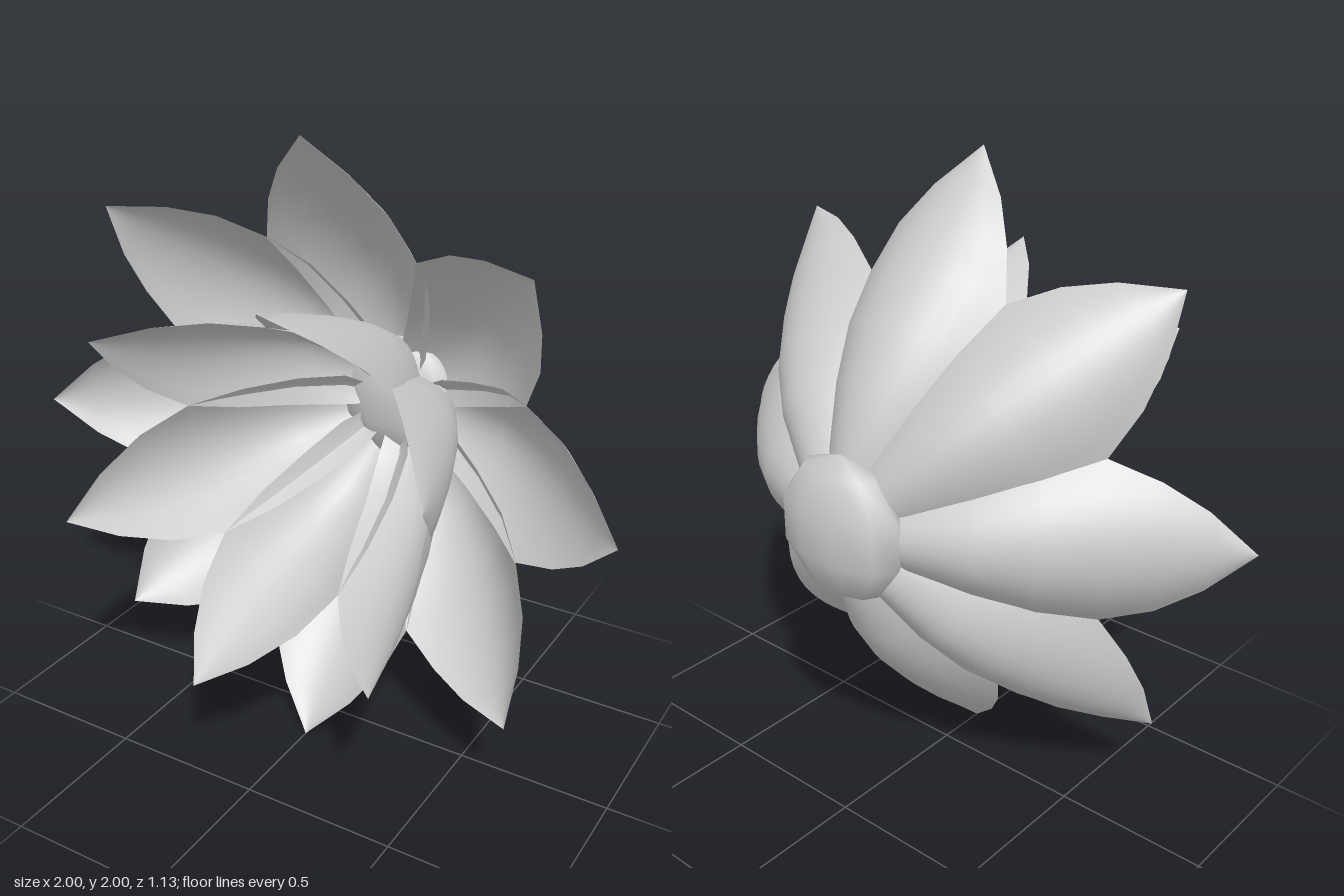
import * as THREE from 'three';

const material = new THREE.MeshStandardMaterial({ color: 0xcccccc, side: THREE.DoubleSide });

// Petal stations from base to tip: [midrib radius, midrib z, edge radius, edge z, half width]
const OUTER = [
  [0.05, -0.47, 0.05, -0.43, 0.05],
  [0.22, -0.455, 0.19, -0.38, 0.13],
  [0.42, -0.38, 0.34, -0.29, 0.185],
  [0.57, -0.28, 0.49, -0.18, 0.235],
  [0.71, -0.155, 0.62, -0.05, 0.26],
  [0.82, -0.04, 0.765, 0.02, 0.205],
  [0.91, 0.065, 0.88, 0.09, 0.125],
  [1.0, 0.165, 1.0, 0.165, 0],
];
const INNER = [
  [0.05, -0.45, 0.03, -0.41, 0.05],
  [0.18, -0.4, 0.11, -0.33, 0.13],
  [0.31, -0.27, 0.2, -0.19, 0.175],
  [0.4, -0.1, 0.29, -0.01, 0.208],
  [0.47, 0.07, 0.38, 0.165, 0.22],
  [0.53, 0.24, 0.48, 0.31, 0.18],
  [0.585, 0.4, 0.565, 0.44, 0.105],
  [0.637, 0.565, 0.637, 0.565, 0],
];

// Cupped petal pointing along +y, its hollow side facing the flower's axis
function petalGeometry(stations, columns = 12) {
  const positions = [];
  const indices = [];
  stations.forEach(([midR, midZ, edgeR, edgeZ, width], row) => {
    for (let c = 0; c <= columns; c++) {
      const s = (c / columns) * 2 - 1;
      const lift = s * s;
      positions.push(width * s, midR + (edgeR - midR) * lift, midZ + (edgeZ - midZ) * lift);
      if (row === 0 || c === 0) continue;
      const b = row * (columns + 1) + c;
      const a = b - columns - 1;
      indices.push(a - 1, a, b);
      if (width > 0) indices.push(a - 1, b, b - 1);
    }
  });
  const geometry = new THREE.BufferGeometry();
  geometry.setAttribute('position', new THREE.Float32BufferAttribute(positions, 3));
  geometry.setIndex(indices);
  geometry.computeVertexNormals();
  return geometry;
}

// Ring of equal petals around the z axis
function petalRing(name, stations, count, startAngle) {
  const ring = new THREE.Group();
  ring.name = name + 's';
  const geometry = petalGeometry(stations);
  for (let i = 0; i < count; i++) {
    const petal = new THREE.Mesh(geometry, material);
    petal.name = name;
    petal.rotation.z = startAngle + (i / count) * Math.PI * 2;
    ring.add(petal);
  }
  return ring;
}

export function createModel() {
  const flower = new THREE.Group();
  flower.name = 'flower';

  flower.add(petalRing('outerPetal', OUTER, 8, 0));
  flower.add(petalRing('innerPetal', INNER, 6, THREE.MathUtils.degToRad(-13.6)));

  // Flattened heart that shows both inside and behind the petals
  const heart = new THREE.Mesh(new THREE.SphereGeometry(0.23, 10, 5), material);
  heart.name = 'heart';
  heart.scale.z = 0.5;
  heart.position.z = -0.463;
  flower.add(heart);

  flower.position.y = 1;
  const model = new THREE.Group();
  model.name = 'openFlower';
  model.add(flower);
  return model;
}
